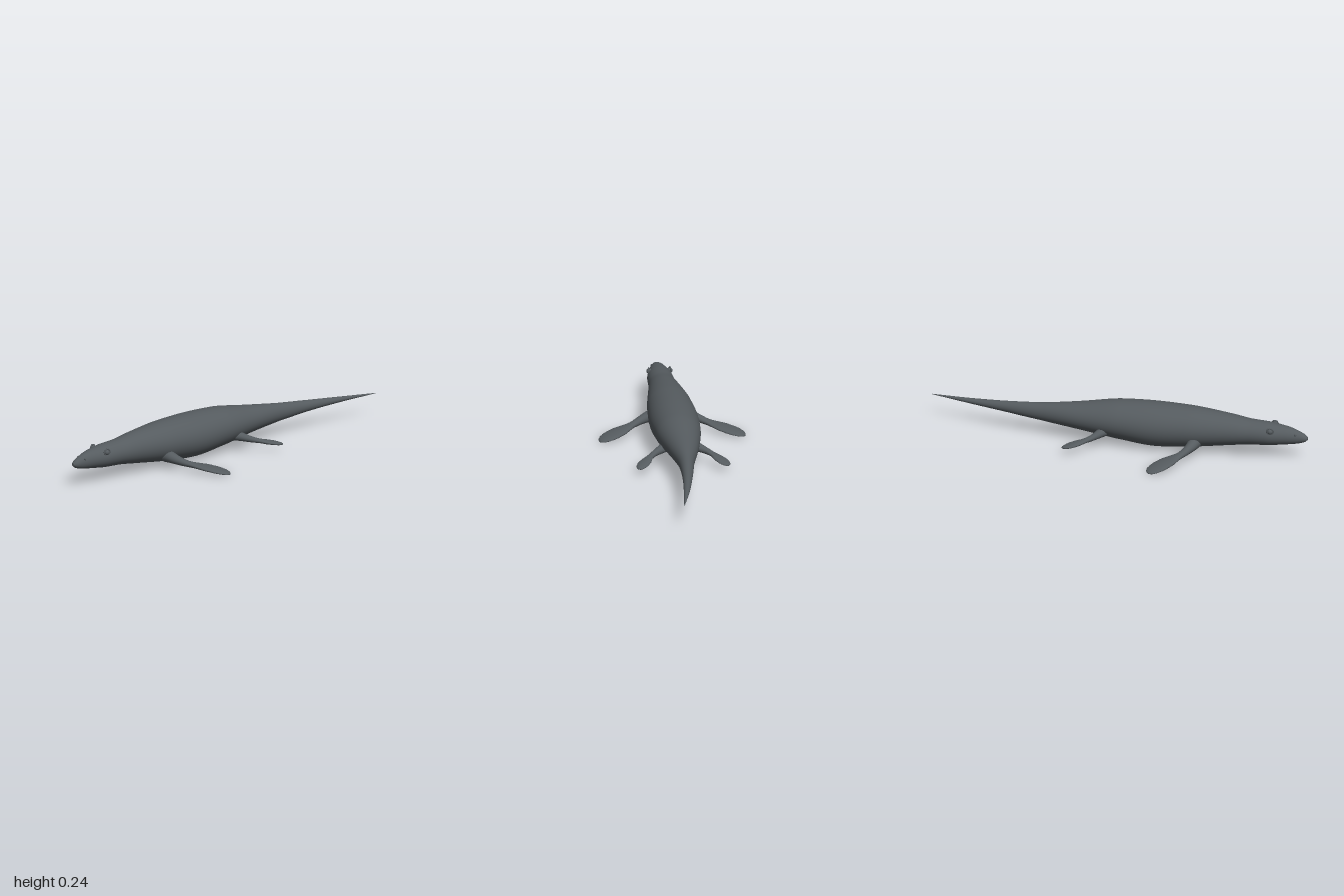
import * as THREE from 'three';

const skin = new THREE.MeshStandardMaterial({ color: 0x555b5f });
skin.name = 'slate skin';

// Smooth closed skin through elliptical sections [x, y, z, halfWidth, halfHeight]
function loft(name, sections, steps, sides, ripple = () => 1) {
  const centre = new THREE.CatmullRomCurve3(sections.map(s => new THREE.Vector3(s[0], s[1], s[2])));
  const size = new THREE.CatmullRomCurve3(sections.map(s => new THREE.Vector3(s[3], s[4], 0)));
  const up = new THREE.Vector3(0, 1, 0);
  const pos = [], index = [];
  for (let i = 0; i <= steps; i++) {
    const t = i / steps;
    const c = centre.getPoint(t), r = size.getPoint(t);
    const side = centre.getTangent(t).cross(up).normalize();
    const w = Math.max(r.x, 0.0005) * ripple(t), h = Math.max(r.y, 0.0005);
    for (let j = 0; j < sides; j++) {
      const a = j / sides * Math.PI * 2;
      const p = c.clone().addScaledVector(side, Math.cos(a) * w).addScaledVector(up, Math.sin(a) * h);
      pos.push(p.x, p.y, p.z);
      if (i < steps) {
        const k = (j + 1) % sides;
        const A = i * sides + j, B = i * sides + k, C = A + sides, D = B + sides;
        index.push(A, C, B, B, C, D);
      }
    }
  }
  // end caps
  const first = sections[0], last = sections[sections.length - 1];
  const n = pos.length / 3;
  pos.push(first[0], first[1], first[2], last[0], last[1], last[2]);
  for (let j = 0; j < sides; j++) {
    const k = (j + 1) % sides, e = steps * sides;
    index.push(n, j, k, n + 1, e + k, e + j);
  }
  const g = new THREE.BufferGeometry();
  g.setAttribute('position', new THREE.Float32BufferAttribute(pos, 3));
  g.setIndex(index);
  g.computeVertexNormals();
  const mesh = new THREE.Mesh(g, skin);
  mesh.name = name;
  return mesh;
}

function bump(name, x, y, z, r, sx = 1) {
  const m = new THREE.Mesh(new THREE.SphereGeometry(r, 16, 12), skin);
  m.name = name;
  m.position.set(x, y, z);
  m.scale.x = sx;
  return m;
}

export function createModel() {
  const model = new THREE.Group();
  model.name = 'swimmingReptile';

  // head, trunk and gently curving tail, from snout to tail tip
  model.add(loft('body', [
    [0, 0.122, 1.0, 0.008, 0.007],
    [0, 0.123, 0.985, 0.019, 0.02],
    [0, 0.126, 0.95, 0.028, 0.034],
    [0, 0.130, 0.9, 0.043, 0.046],
    [0, 0.131, 0.8, 0.065, 0.060],
    [0, 0.131, 0.7, 0.070, 0.066],
    [0, 0.132, 0.6, 0.084, 0.080],
    [0, 0.129, 0.4, 0.114, 0.104],
    [0, 0.124, 0.2, 0.126, 0.114],
    [0, 0.130, 0, 0.115, 0.100],
    [0, 0.127, -0.2, 0.080, 0.071],
    [0.008, 0.123, -0.4, 0.041, 0.047],
    [0.026, 0.123, -0.6, 0.026, 0.028],
    [0.054, 0.122, -0.8, 0.015, 0.013],
    [0.09, 0.121, -1.0, 0.001, 0.001],
  ], 112, 40));

  for (const s of [1, -1]) {
    const tag = s > 0 ? 'left' : 'right';
    const scallop = t => (t > 0.6 ? 1 + 0.025 * Math.sin(t * 90) : 1);
    const mirror = list => list.map(([x, ...rest]) => [x * s, ...rest]);

    // large front paddle on a thin arm
    model.add(loft(tag + 'FrontFlipper', mirror([
      [0.07, 0.075, 0.425, 0.036, 0.036],
      [0.11, 0.068, 0.418, 0.030, 0.029],
      [0.15, 0.056, 0.402, 0.023, 0.022],
      [0.19, 0.044, 0.378, 0.022, 0.016],
      [0.23, 0.037, 0.350, 0.036, 0.013],
      [0.27, 0.030, 0.322, 0.049, 0.013],
      [0.31, 0.022, 0.295, 0.050, 0.012],
      [0.345, 0.014, 0.272, 0.041, 0.009],
      [0.365, 0.008, 0.260, 0.025, 0.006],
      [0.372, 0.005, 0.256, 0.006, 0.003],
    ]), 54, 20, scallop));

    // smaller hind paddle
    model.add(loft(tag + 'HindFlipper', mirror([
      [0.06, 0.085, -0.045, 0.030, 0.028],
      [0.10, 0.077, -0.073, 0.024, 0.022],
      [0.135, 0.067, -0.100, 0.017, 0.016],
      [0.162, 0.059, -0.130, 0.018, 0.012],
      [0.183, 0.052, -0.160, 0.028, 0.011],
      [0.203, 0.046, -0.190, 0.031, 0.010],
      [0.219, 0.040, -0.217, 0.024, 0.008],
      [0.226, 0.037, -0.232, 0.013, 0.005],
      [0.228, 0.036, -0.236, 0.004, 0.002],
    ]), 48, 20, scallop));

    // eye with rim, and nostril
    model.add(bump(tag + 'Eye', s * 0.052, 0.163, 0.815, 0.015));
    const rim = new THREE.Mesh(new THREE.TorusGeometry(0.016, 0.004, 8, 20), skin);
    rim.name = tag + 'EyeRim';
    rim.position.set(s * 0.055, 0.164, 0.815);
    rim.rotation.set(0, s * 1.4, 0);
    model.add(rim);
    model.add(bump(tag + 'Nostril', s * 0.026, 0.146, 0.94, 0.006));
  }
  return model;
}
